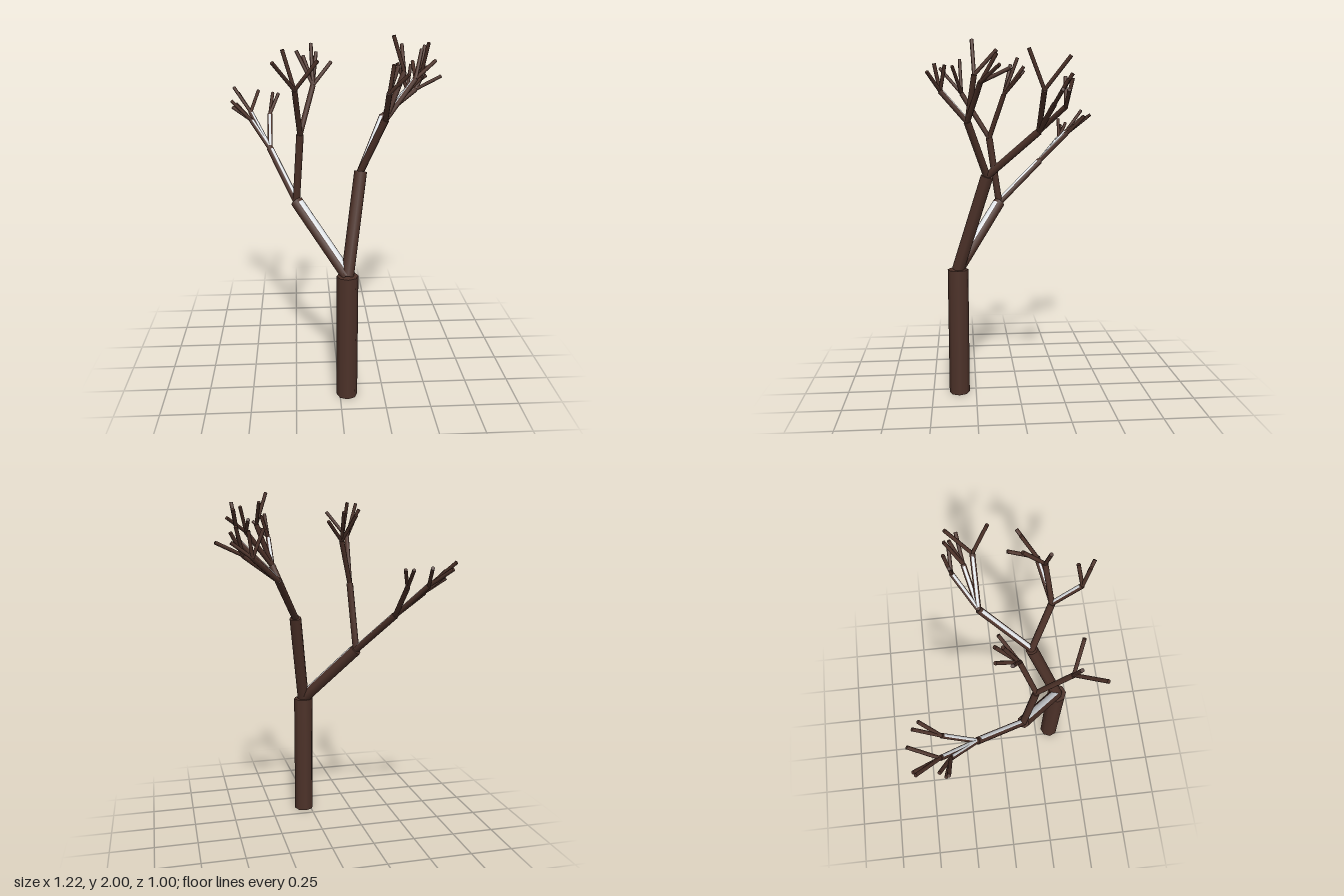
import * as THREE from 'three';

const bark = new THREE.MeshStandardMaterial({ color: 0x4d3229 });
bark.name = 'bark';
const snow = new THREE.MeshStandardMaterial({ color: 0xeef2f6 });
snow.name = 'snow';

const UP = new THREE.Vector3(0, 1, 0);

// radius and name of each generation of limbs, and whether snow settles on it
const levels = [
  { name: 'trunk', radius: 0.059, snowy: false },
  { name: 'mainLimb', radius: 0.035, snowy: true },
  { name: 'bough', radius: 0.02, snowy: true },
  { name: 'branch', radius: 0.0145, snowy: true },
  { name: 'twig', radius: 0.01, snowy: false },
];

// a node is an end point followed by the limbs growing from it
const node = (x, y, z, ...children) => ({ end: new THREE.Vector3(x, y, z), children });

const leftBackBough = node(-0.378, 1.33, -0.168,
  node(-0.495, 1.51, -0.353,
    node(-0.575, 1.605, -0.48), node(-0.598, 1.64, -0.465), node(-0.453, 1.615, -0.5)),
  node(-0.38, 1.5, -0.34,
    node(-0.365, 1.605, -0.47), node(-0.33, 1.605, -0.44)),
  node(-0.49, 1.47, -0.305,
    node(-0.604, 1.585, -0.315), node(-0.6, 1.545, -0.33), node(-0.58, 1.56, -0.36)));

const leftFrontBough = node(-0.204, 1.48, 0.153,
  node(-0.228, 1.74, 0.314,
    node(-0.332, 1.89, 0.441), node(-0.113, 1.89, 0.366), node(-0.285, 1.94, 0.323)),
  node(-0.13, 1.73, 0.07,
    node(-0.217, 1.905, 0.025), node(-0.18, 1.87, -0.05), node(-0.11, 1.89, -0.045),
    node(-0.138, 1.94, -0.01), node(-0.03, 1.84, -0.02)));

const rightFrontBough = node(0.235, 1.58, 0.286,
  node(0.234, 1.74, 0.426,
    node(0.316, 1.835, 0.49), node(0.28, 1.87, 0.4), node(0.25, 1.88, 0.455)),
  node(0.394, 1.78, 0.22,
    node(0.4, 1.85, 0.072), node(0.512, 1.86, 0.13), node(0.435, 1.92, 0.14)),
  node(0.33, 1.82, 0.25,
    node(0.27, 2.0, 0.26), node(0.33, 1.945, 0.135)));

const rightBackBough = node(0.267, 1.53, -0.09,
  node(0.475, 1.74, -0.094,
    node(0.5, 1.94, -0.013), node(0.515, 1.905, -0.22)),
  node(0.46, 1.67, -0.145,
    node(0.607, 1.74, -0.167), node(0.505, 1.82, -0.23), node(0.53, 1.79, -0.205)),
  node(0.42, 1.66, -0.21,
    node(0.36, 1.81, -0.215), node(0.53, 1.74, -0.21), node(0.443, 1.8, -0.24)));

const tree = node(0.04, 0.74, 0.347,
  node(-0.23, 1.09, 0.095, leftBackBough, leftFrontBough),
  node(0.12, 1.28, 0.18, rightFrontBough, rightBackBough));

// straight eight-sided rod from one point to another
function rod(name, from, to, radius, material) {
  const direction = to.clone().sub(from);
  const length = direction.length();
  const mesh = new THREE.Mesh(new THREE.CylinderGeometry(radius, radius, length, 8), material);
  mesh.name = name;
  mesh.position.copy(from).lerp(to, 0.5);
  mesh.quaternion.setFromUnitVectors(UP, direction.normalize());
  return mesh;
}

// thin ridge of snow showing along the upper side of a limb
function snowRidge(from, to, direction, radius) {
  const lift = UP.clone().addScaledVector(direction, -direction.y).setLength(radius * 0.42);
  const start = from.clone().lerp(to, 0.06).add(lift);
  const end = from.clone().lerp(to, 0.96).add(lift);
  return rod('snowRidge', start, end, radius * 0.65, snow);
}

function grow(group, from, item, level) {
  const { name, radius, snowy } = levels[level];
  group.add(rod(name, from, item.end, radius, bark));
  // snow only rests on limbs that lean far enough
  const direction = item.end.clone().sub(from).normalize();
  if (snowy && direction.y < 0.78) group.add(snowRidge(from, item.end, direction, radius));
  for (const child of item.children) grow(group, item.end, child, level + 1);
}

export function createModel() {
  const group = new THREE.Group();
  group.name = 'bareTree';
  grow(group, new THREE.Vector3(0.04, 0, 0.347), tree, 0);
  return group;
}
